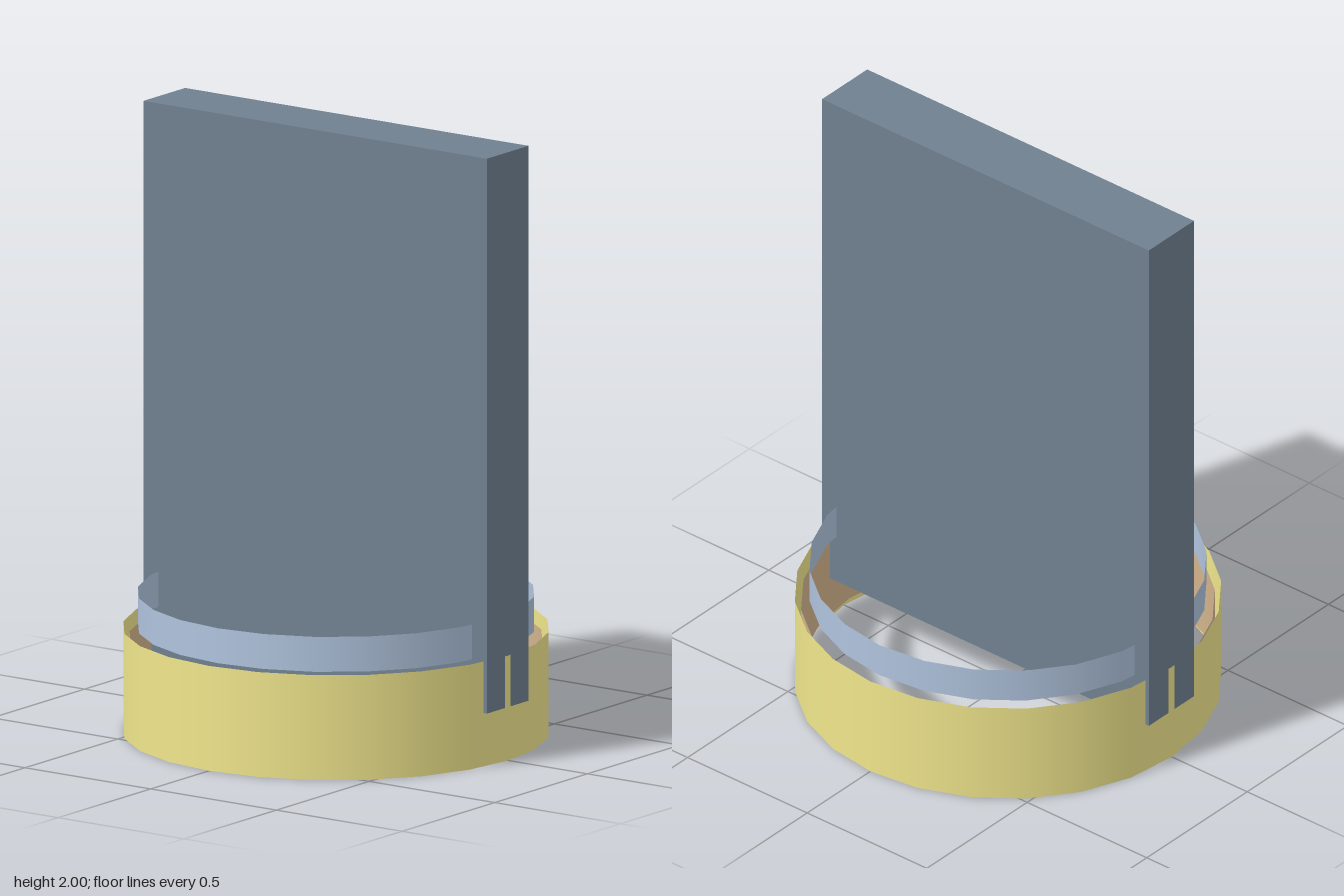
import * as THREE from 'three';

const SIDES = 24;

function part(name, geometry, color, y) {
  const material = new THREE.MeshStandardMaterial({ color, side: THREE.DoubleSide });
  const mesh = new THREE.Mesh(geometry, material);
  mesh.name = name;
  mesh.position.y = y;
  return mesh;
}

// Thin open-ended band standing between two heights
function band(name, radius, bottom, top, color) {
  const geometry = new THREE.CylinderGeometry(radius, radius, top - bottom, SIDES, 1, true);
  return part(name, geometry, color, (bottom + top) / 2);
}

export function createModel() {
  const model = new THREE.Group();
  model.name = 'slabInRing';

  // Upright slab, passing through the bands
  const bottom = 0.175, top = 2;
  const slab = new THREE.BoxGeometry(0.225, top - bottom, 1.366);
  model.add(part('slab', slab, 0x708090, (bottom + top) / 2));

  // Concentric bands: outer collar, its lining and the raised rim
  model.add(
    band('outerCollar', 0.685, 0, 0.345, 0xf0e68c),
    band('collarLining', 0.665, 0.033, 0.312, 0xd2b48c),
    band('raisedRim', 0.638, 0.345, 0.46, 0xb0c4de)
  );
  return model;
}
